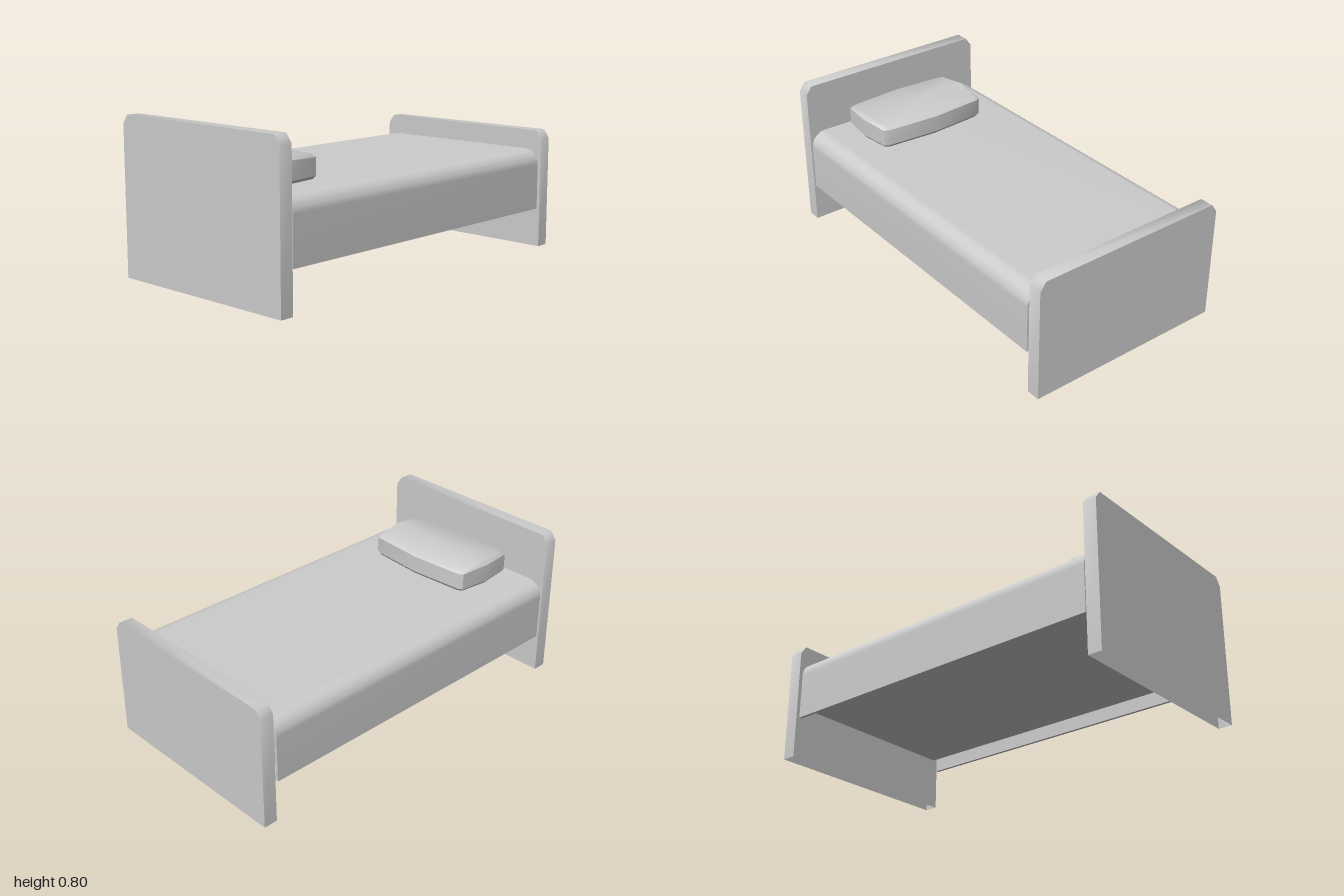
import * as THREE from 'three';
import { toCreasedNormals } from 'three/addons/utils/BufferGeometryUtils.js';

const HALF_WIDTH = 0.535;

// Extrudes a (z, y) profile along x, from x0 to x1
function extrudeAlongX(shape, x0, x1) {
  return new THREE.ExtrudeGeometry(shape, { depth: x1 - x0, bevelEnabled: false, curveSegments: 8 })
    .rotateY(Math.PI / 2)
    .translate(x0, 0, 0);
}

// Drops every triangle lying on the floor, leaving a hollow, open foot
function openBottom(geometry) {
  const p = geometry.getAttribute('position');
  const kept = [];
  for (let i = 0; i < p.count; i += 3) {
    if (Math.max(p.getY(i), p.getY(i + 1), p.getY(i + 2)) < 1e-5) continue;
    for (let k = i; k < i + 3; k++) kept.push(p.getX(k), p.getY(k), p.getZ(k));
  }
  const open = new THREE.BufferGeometry();
  open.setAttribute('position', new THREE.Float32BufferAttribute(kept, 3));
  return open;
}

// End board with clipped upper corners
function boardGeometry(height, x0, x1) {
  const w = HALF_WIDTH, cz = 0.032, cy = 0.044;
  const shape = new THREE.Shape([
    [-w, 0], [w, 0], [w, height - cy], [w - cz, height], [-w + cz, height], [-w, height - cy],
  ].map(([z, y]) => new THREE.Vector2(z, y)));
  return toCreasedNormals(openBottom(extrudeAlongX(shape, x0, x1)), 1.0);
}

// Thin cover draped over the top and both sides, rounded at the shoulders
function blanketGeometry() {
  const w = 0.53, top = 0.53, low = 0.21, r = 0.08, t = 0.015;
  const s = new THREE.Shape();
  s.moveTo(w, low);
  s.lineTo(w, top - r);
  s.absarc(w - r, top - r, r, 0, Math.PI / 2, false);
  s.absarc(-w + r, top - r, r, Math.PI / 2, Math.PI, false);
  s.lineTo(-w, low);
  s.lineTo(-w + t, low);
  s.absarc(-w + r, top - r, r - t, Math.PI, Math.PI / 2, true);
  s.absarc(w - r, top - r, r - t, Math.PI / 2, 0, true);
  s.lineTo(w - t, low);
  s.closePath();
  return toCreasedNormals(extrudeAlongX(s, -0.92, 0.91), 0.7);
}

// Pillow: stacked rings of a bulging outline, with a crown across its width
function pillowGeometry() {
  const quarter = [[0.197, 0], [0.176, 0.285], [0.163, 0.308], [0, 0.328]];
  const mirrored = (sx, sz) => quarter.map(([x, z]) => [x * sx, z * sz]);
  const outline = [
    ...mirrored(1, 1),
    ...mirrored(-1, 1).reverse().slice(1),
    ...mirrored(-1, -1).slice(1),
    ...mirrored(1, -1).reverse().slice(1, -1),
  ];
  const crown = (x) => 0.015 * (1 - Math.min(1, (x / 0.17) ** 2));
  // inset, height, share of the crown
  const rings = [[0.012, 0.53, 0], [0, 0.545, 0], [0, 0.632, 0.4], [0.016, 0.645, 1]];
  const n = outline.length;
  const pos = [], index = [];
  for (const [inset, y, share] of rings) {
    for (const [x, z] of outline) {
      pos.push(x * (1 - inset / 0.19), y + crown(x) * share, z * (1 - inset / 0.32));
    }
  }
  pos.push(0, 0.53, 0, 0, 0.66, 0);
  const bottom = rings.length * n, top = bottom + 1;
  for (let i = 0; i < n; i++) {
    const j = (i + 1) % n;
    for (let k = 0; k < rings.length - 1; k++) {
      const a = k * n + i, b = k * n + j;
      index.push(a, a + n, b, b, a + n, b + n);
    }
    const last = (rings.length - 1) * n;
    index.push(bottom, i, j, top, last + j, last + i);
  }
  const g = new THREE.BufferGeometry();
  g.setAttribute('position', new THREE.Float32BufferAttribute(pos, 3));
  g.setIndex(index);
  return toCreasedNormals(g.toNonIndexed(), 0.6).translate(-0.715, 0, 0);
}

export function createModel() {
  const bed = new THREE.Group();
  bed.name = 'bed';
  const grey = new THREE.MeshStandardMaterial({ color: 0xcccccc, side: THREE.DoubleSide });
  grey.name = 'plain grey';

  const add = (name, geometry) => {
    const mesh = new THREE.Mesh(geometry, grey);
    mesh.name = name;
    bed.add(mesh);
  };

  // End boards
  add('headboard', boardGeometry(0.8, -1, -0.928));
  add('footboard', boardGeometry(0.63, 0.928, 1));

  // Frame joining the boards, with the mattress on it
  add('frame', new THREE.BoxGeometry(1.856, 0.07, 1.02).translate(0, 0.315, 0));
  add('mattress', new THREE.BoxGeometry(1.84, 0.14, 1.02).translate(0, 0.42, 0));

  // Bedding
  add('blanket', blanketGeometry());
  add('pillow', pillowGeometry());
  return bed;
}
